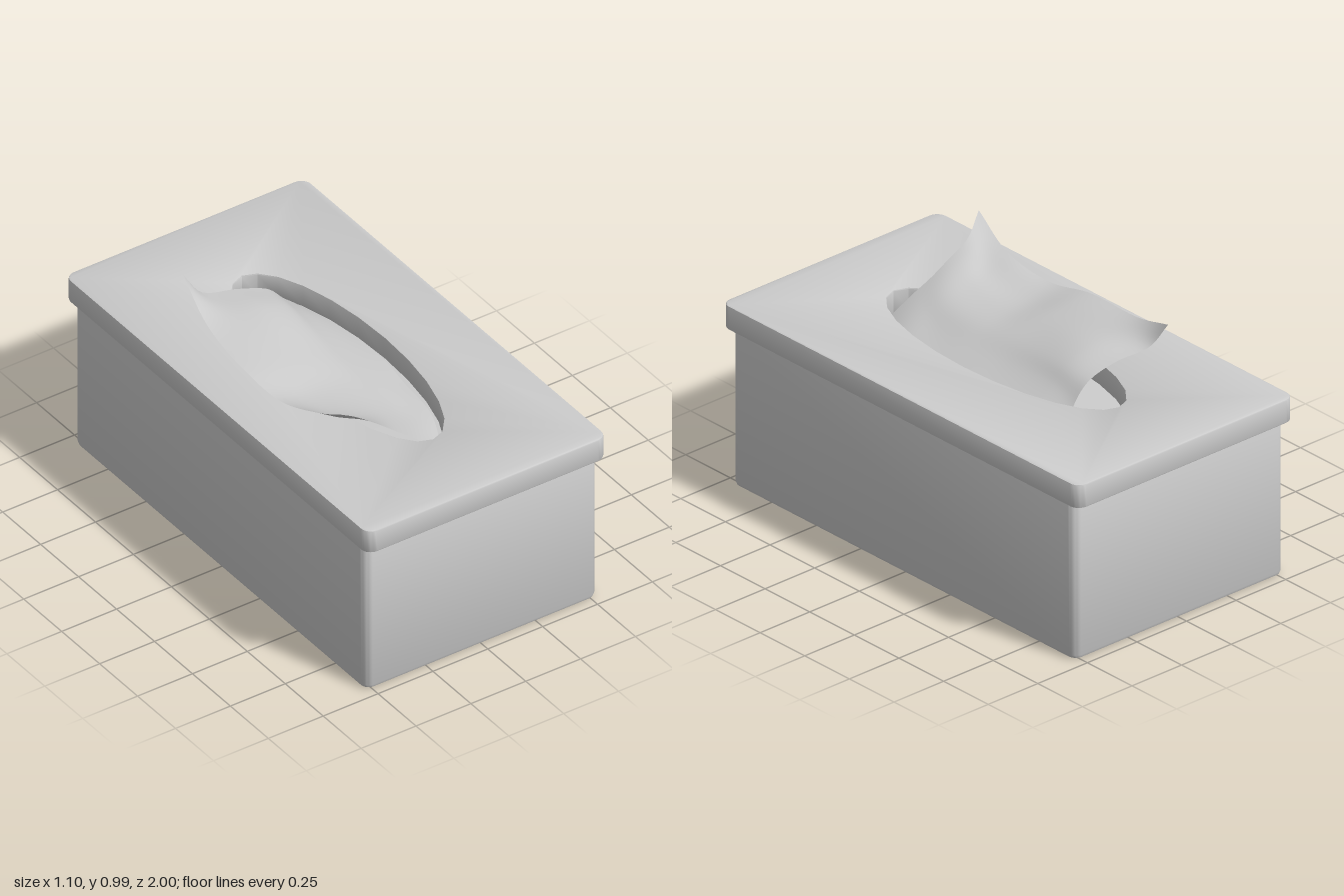
import * as THREE from 'three';
import { toCreasedNormals } from 'three/addons/utils/BufferGeometryUtils.js';

const material = new THREE.MeshStandardMaterial({ color: 0xcccccc });
const clothMaterial = new THREE.MeshStandardMaterial({ color: 0xcccccc, side: THREE.DoubleSide });

// Upright slab with rounded corners and bevelled rims, from y0 to y1
function slab(name, halfX, halfZ, y0, y1, radius, bevel, hole) {
  const s = new THREE.Shape();
  const corners = [[1, -1, -90], [1, 1, 0], [-1, 1, 90], [-1, -1, 180]];
  for (const [sx, sy, deg] of corners) {
    const a = THREE.MathUtils.degToRad(deg);
    s.absarc(sx * (halfX - radius), sy * (halfZ - radius), radius, a, a + Math.PI / 2, false);
  }
  if (hole) s.holes.push(hole);
  const geo = new THREE.ExtrudeGeometry(s, {
    depth: y1 - y0 - 2 * bevel, curveSegments: 4,
    bevelSize: bevel, bevelThickness: bevel, bevelOffset: -bevel, bevelSegments: 2,
  });
  geo.rotateX(-Math.PI / 2).translate(0, y0 + bevel, 0);
  const mesh = new THREE.Mesh(toCreasedNormals(geo, 0.6), material);
  mesh.name = name;
  return mesh;
}

// Curved sheet through a few cross-sections, each running from -x to +x
function sheet(name, sections, nu, nv) {
  const curves = sections.map(p => new THREE.CatmullRomCurve3(p.map(q => new THREE.Vector3(...q)), false, 'centripetal'));
  const pos = [], index = [];
  for (let i = 0; i <= nu; i++) {
    const along = new THREE.CatmullRomCurve3(curves.map(c => c.getPoint(i / nu)), false, 'centripetal');
    for (let j = 0; j <= nv; j++) pos.push(...along.getPoint(j / nv).toArray());
  }
  for (let i = 0; i < nu; i++) {
    for (let j = 0; j < nv; j++) {
      const a = i * (nv + 1) + j, b = a + nv + 1;
      index.push(a, a + 1, b, b, a + 1, b + 1);
    }
  }
  const geo = new THREE.BufferGeometry();
  geo.setAttribute('position', new THREE.Float32BufferAttribute(pos, 3));
  geo.setIndex(index);
  geo.computeVertexNormals();
  const mesh = new THREE.Mesh(geo, clothMaterial);
  mesh.name = name;
  return mesh;
}

export function createModel() {
  const group = new THREE.Group();
  group.name = 'tissueBox';

  group.add(slab('boxBody', 0.53, 0.963, 0, 0.665, 0.04, 0.018));

  // Lid with a 24-sided oval opening
  const oval = [];
  for (let i = 0; i < 24; i++) {
    const a = -i / 24 * Math.PI * 2;
    oval.push(new THREE.Vector2(0.215 * Math.cos(a), -0.01 + 0.63 * Math.sin(a)));
  }
  group.add(slab('lid', 0.548, 1, 0.66, 0.76, 0.045, 0.006, new THREE.Path(oval)));

  // Tissue rising from the +x rim of the opening, back section to front section
  group.add(sheet('tissue', [
    [[-0.33, 0.955, -0.53], [-0.27, 0.87, -0.495], [-0.13, 0.845, -0.465], [0, 0.8, -0.45], [0.07, 0.73, -0.45], [0.13, 0.67, -0.48]],
    [[-0.38, 0.88, -0.3], [-0.25, 0.865, -0.3], [-0.11, 0.85, -0.3], [-0.01, 0.81, -0.3], [0.06, 0.75, -0.3], [0.18, 0.67, -0.3]],
    [[-0.41, 0.855, 0], [-0.28, 0.835, 0], [-0.15, 0.815, 0], [-0.04, 0.785, 0], [0.06, 0.735, 0], [0.205, 0.67, 0]],
    [[-0.39, 0.83, 0.2], [-0.28, 0.8, 0.2], [-0.16, 0.785, 0.2], [-0.05, 0.765, 0.2], [0.05, 0.725, 0.2], [0.18, 0.67, 0.2]],
    [[-0.36, 0.885, 0.4], [-0.27, 0.83, 0.4], [-0.18, 0.8, 0.4], [-0.07, 0.765, 0.4], [0.03, 0.715, 0.4], [0.155, 0.67, 0.4]],
    [[-0.375, 0.99, 0.58], [-0.28, 0.915, 0.54], [-0.2, 0.86, 0.55], [-0.12, 0.8, 0.565], [-0.05, 0.75, 0.585], [0.06, 0.67, 0.61]],
  ], 24, 30));

  return group;
}
